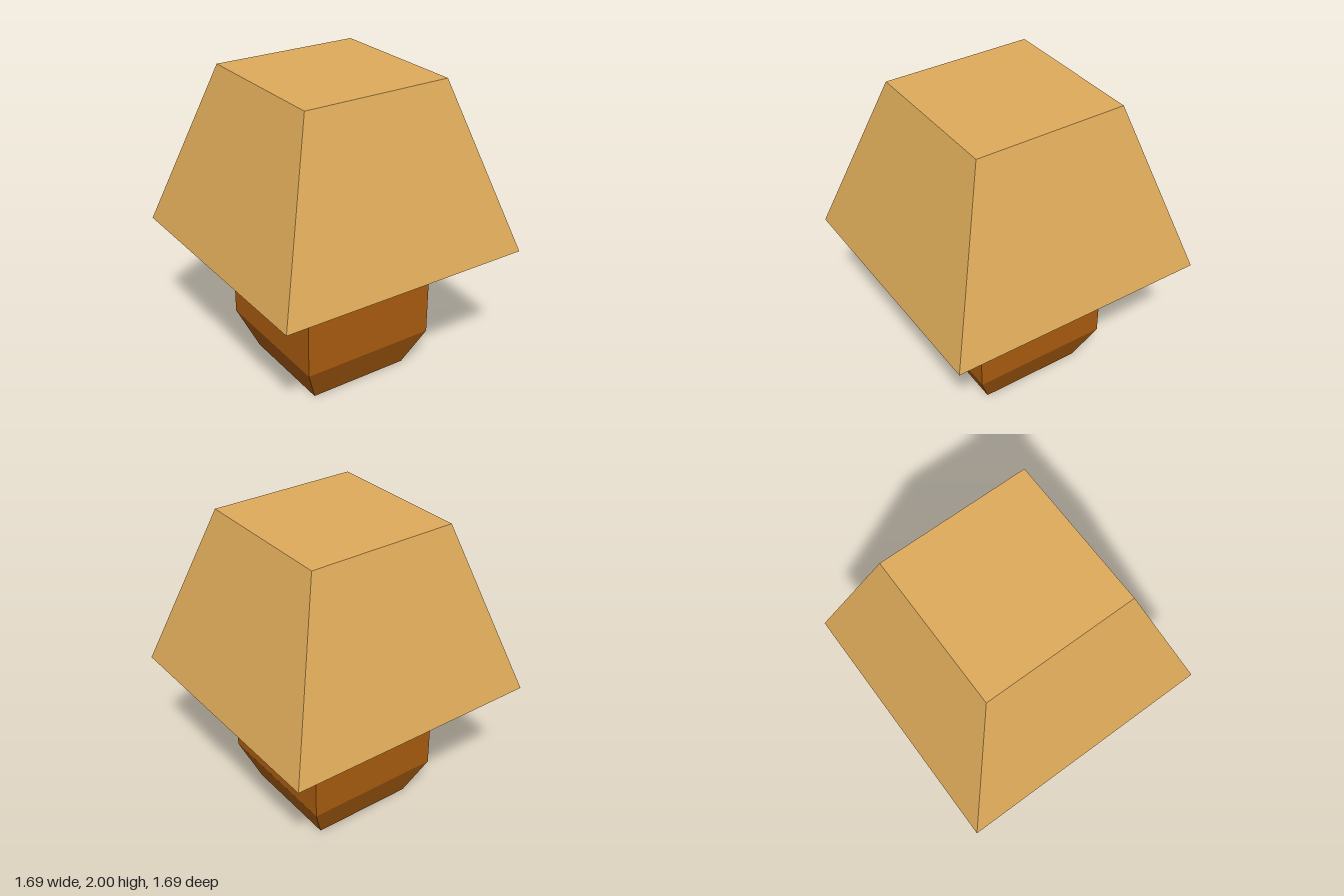
import * as THREE from 'three';

// Square solid turned from a profile of [half width, height] points, with flat faces
function squareTurned(name, profile, material) {
  const points = profile.map(([half, y]) => new THREE.Vector2(half * Math.SQRT2, y));
  const geometry = new THREE.LatheGeometry(points, 4, Math.PI / 4).toNonIndexed();
  geometry.computeVertexNormals();
  const mesh = new THREE.Mesh(geometry, material);
  mesh.name = name;
  return mesh;
}

export function createModel() {
  const shadeMaterial = new THREE.MeshStandardMaterial({ color: 0xdeab5a });
  shadeMaterial.name = 'tan shade';
  const woodMaterial = new THREE.MeshStandardMaterial({ color: 0xaa5d10 });
  woodMaterial.name = 'brown wood';

  const lamp = new THREE.Group();
  lamp.name = 'tableLamp';

  // Faceted base, tapered at both ends
  const base = squareTurned('base', [
    [0, 0], [0.347, 0], [0.459, 0.262], [0.459, 0.675], [0.347, 0.93], [0, 0.93],
  ], woodMaterial);
  base.position.x = -0.007;

  // Square post holding the shade
  const post = squareTurned('post', [
    [0.131, 0.92], [0.131, 1.88],
  ], woodMaterial);
  post.position.x = -0.007;

  // Hollow shade: inner ceiling, inner walls, bottom rim, outer walls, top
  const shade = squareTurned('shade', [
    [0, 1.87], [0.405, 1.87], [0.717, 0.915], [0.845, 0.915], [0.491, 2], [0, 2],
  ], shadeMaterial);
  shade.position.x = -0.004;

  lamp.add(base, post, shade);
  return lamp;
}
